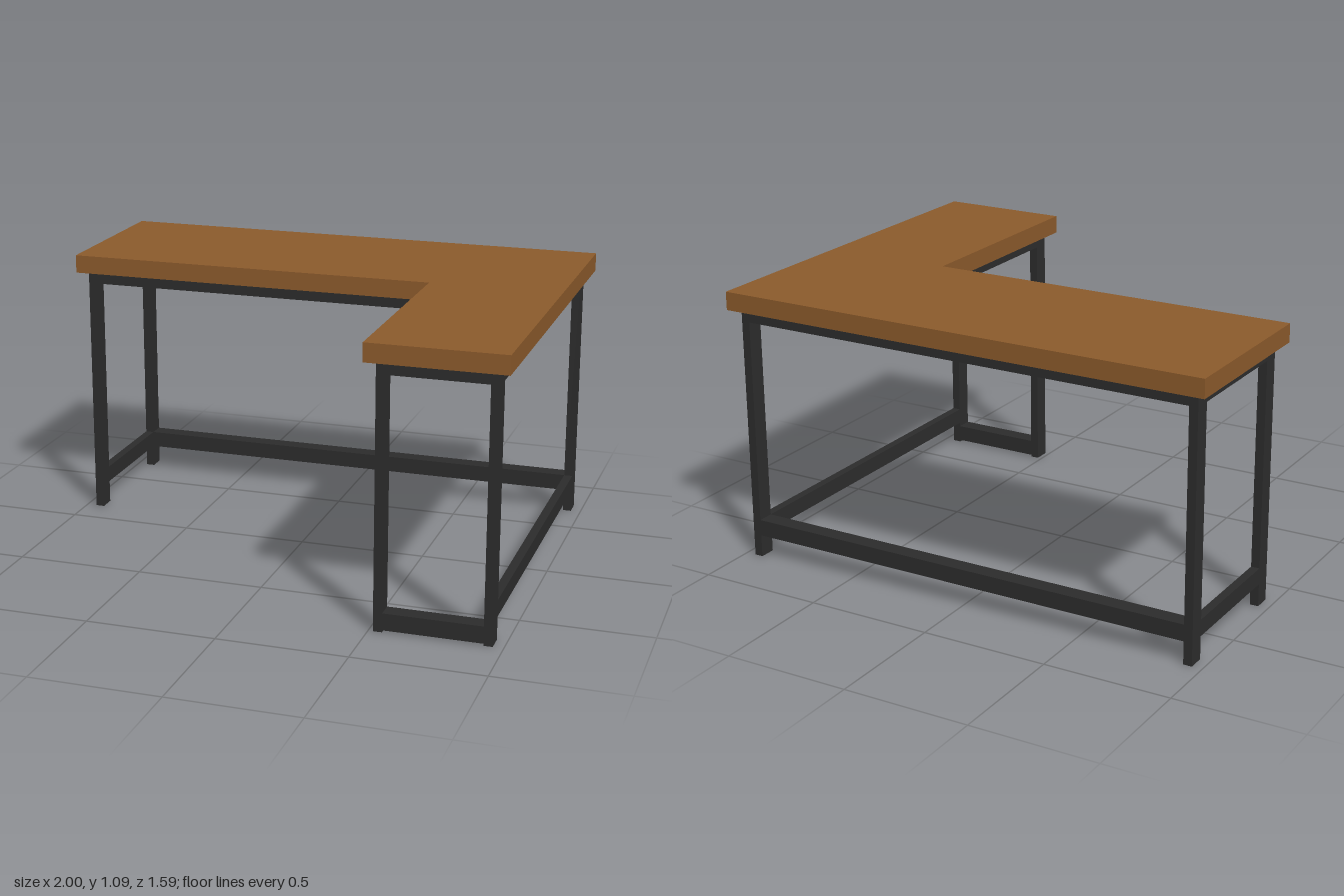
import * as THREE from 'three';

export function createModel() {
  const wood = new THREE.MeshStandardMaterial({ color: 0x8b5a2b });
  wood.name = 'brown wood';
  const metal = new THREE.MeshStandardMaterial({ color: 0x2c2c2c });
  metal.name = 'black metal';
  const desk = new THREE.Group();
  desk.name = 'cornerDesk';

  // Box given by its lower and upper corners
  const bar = (name, x0, x1, y0, y1, z0, z1) => {
    const mesh = new THREE.Mesh(new THREE.BoxGeometry(x1 - x0, y1 - y0, z1 - z0), metal);
    mesh.name = name;
    mesh.position.set((x0 + x1) / 2, (y0 + y1) / 2, (z0 + z1) / 2);
    desk.add(mesh);
  };

  // L-shaped top, outlined as (x, -z) and laid flat
  const outline = [[-1, 0.795], [-1, 0.1], [0.48, 0.1], [0.48, -0.795], [1, -0.795], [1, 0.795]];
  const shape = new THREE.Shape(outline.map(([x, y]) => new THREE.Vector2(x, y)));
  const topGeometry = new THREE.ExtrudeGeometry(shape, { depth: 0.072, bevelEnabled: false });
  topGeometry.rotateX(-Math.PI / 2);
  const top = new THREE.Mesh(topGeometry, wood);
  top.name = 'tabletop';
  top.position.y = 1.015;
  desk.add(top);

  // Leg section and the centre lines of the frame
  const w = 0.017, d = 0.033;
  const left = -0.943, inner = 0.535, right = 0.943;
  const back = -0.725, middle = -0.167, front = 0.727;
  const railY = 0.967, topY = 1.015;

  // Legs
  for (const [name, x, z] of [
    ['backLeftwardLeg', right, back], ['backRightwardLeg', left, back],
    ['frontRightwardLeg', left, middle], ['returnInnerLeg', inner, front],
    ['returnOuterLeg', right, front],
  ]) bar(name, x - w, x + w, 0, railY, z - d, z + d);

  // Upper rails running across
  for (const [name, x0, x1, z] of [
    ['backTopRail', left, right, back], ['innerTopRail', left, inner, middle],
    ['returnEndTopRail', inner, right, front],
  ]) bar(name, x0 - w, x1 + w, railY, topY, z - d, z + d);

  // Upper rails running front to back, fitted between the cross rails
  for (const [name, x, z0, z1] of [
    ['outerTopRail', right, back, front], ['returnInnerTopRail', inner, middle, front],
    ['sideTopRail', left, back, middle],
  ]) bar(name, x - w, x + w, railY, topY, z0 + d, z1 - d);

  // Lower stretchers
  bar('backStretcher', left + w, right - w, 0.09, 0.155, back - d, back + d);
  bar('outerStretcher', right - w, right + w, 0.09, 0.155, back + d, front - d);
  bar('sideStretcher', left - w, left + w, 0.09, 0.155, back + d, middle - d);
  bar('returnFootRail', inner + w, right - w, 0.008, 0.074, front - d, front + d);

  return desk;
}
